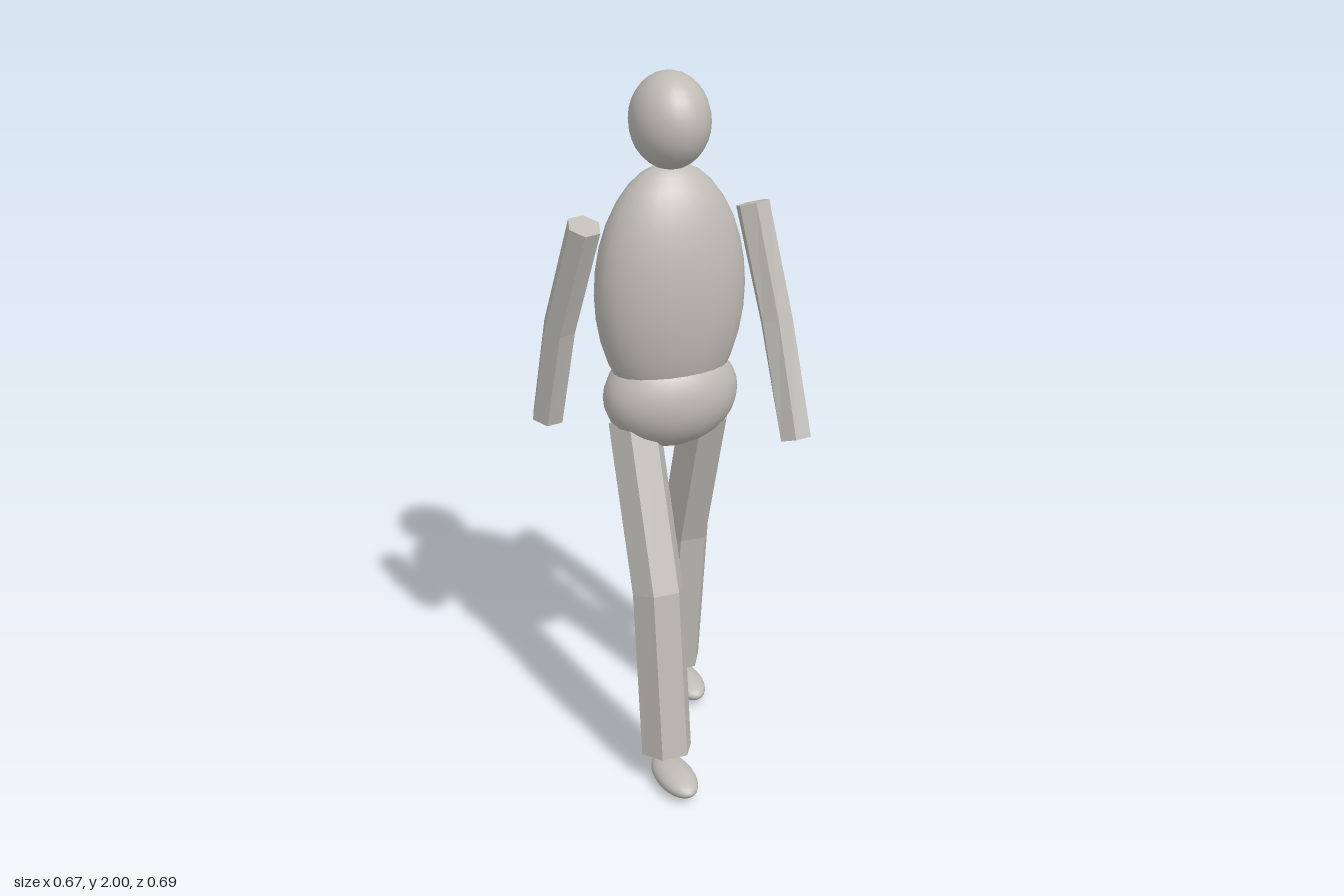
import * as THREE from 'three';

const skin = new THREE.MeshStandardMaterial({ color: 0xbfbcb6 });
skin.name = 'plainGrey';

// Smooth body part: a scaled sphere
function ellipsoid(name, center, radii) {
  const geometry = new THREE.SphereGeometry(1, 24, 16);
  geometry.scale(...radii);
  const mesh = new THREE.Mesh(geometry, skin);
  mesh.name = name;
  mesh.position.set(...center);
  return mesh;
}

// Faceted limb: a capped hexagonal tube mitred at its middle joint
function limb(name, points, radius) {
  const sides = 6;
  const path = points.map((p) => new THREE.Vector3(...p));
  const up = new THREE.Vector3(0, 1, 0);
  const rings = path.map((p, i) => {
    const t = new THREE.Vector3();
    if (i > 0) t.add(p.clone().sub(path[i - 1]).normalize());
    if (i < path.length - 1) t.add(path[i + 1].clone().sub(p).normalize());
    t.normalize();
    const u = t.clone().cross(up).normalize();
    const v = t.clone().cross(u);
    return Array.from({ length: sides }, (_, k) => {
      const a = (k / sides) * Math.PI * 2;
      return p.clone().addScaledVector(u, radius * Math.cos(a)).addScaledVector(v, radius * Math.sin(a));
    });
  });

  const corners = [];
  const last = rings.length - 1;
  for (let k = 0; k < sides; k++) {
    const n = (k + 1) % sides;
    for (let i = 0; i < last; i++) {
      const [a, b, c, d] = [rings[i][k], rings[i][n], rings[i + 1][n], rings[i + 1][k]];
      corners.push(a, b, c, a, c, d);
    }
    corners.push(path[0], rings[0][n], rings[0][k]);
    corners.push(path[last], rings[last][k], rings[last][n]);
  }
  const geometry = new THREE.BufferGeometry().setFromPoints(corners);
  geometry.computeVertexNormals(); // unshared corners give flat facets
  const mesh = new THREE.Mesh(geometry, skin);
  mesh.name = name;
  return mesh;
}

export function createModel() {
  const model = new THREE.Group();
  model.name = 'walkingFigure';

  // Head and trunk
  model.add(
    ellipsoid('head', [0, 1.87, -0.052], [0.108, 0.13, 0.121]),
    ellipsoid('torso', [0, 1.4, -0.052], [0.215, 0.357, 0.142]),
    ellipsoid('pelvis', [0, 1.098, -0.05], [0.195, 0.153, 0.136]),
  );

  // Arms swing opposite to the legs
  model.add(
    limb('leftArm', [[0.245, 1.612, -0.052], [0.277, 1.3, 0.045], [0.288, 0.988, 0.155]], 0.048),
    limb('rightArm', [[-0.245, 1.612, -0.052], [-0.276, 1.29, -0.175], [-0.288, 0.99, -0.257]], 0.048),
  );

  // Legs in mid stride
  model.add(
    limb('leftLeg', [[0.108, 1.03, -0.056], [0.113, 0.58, -0.206], [0.115, 0.092, -0.275]], 0.075),
    limb('rightLeg', [[-0.108, 1.03, -0.056], [-0.113, 0.58, 0.119], [-0.115, 0.092, 0.181]], 0.075),
  );

  // Feet float just below the legs
  model.add(
    ellipsoid('leftFoot', [0.115, 0.036, -0.219], [0.055, 0.034, 0.11]),
    ellipsoid('rightFoot', [-0.115, 0.036, 0.237], [0.055, 0.034, 0.11]),
  );
  return model;
}
